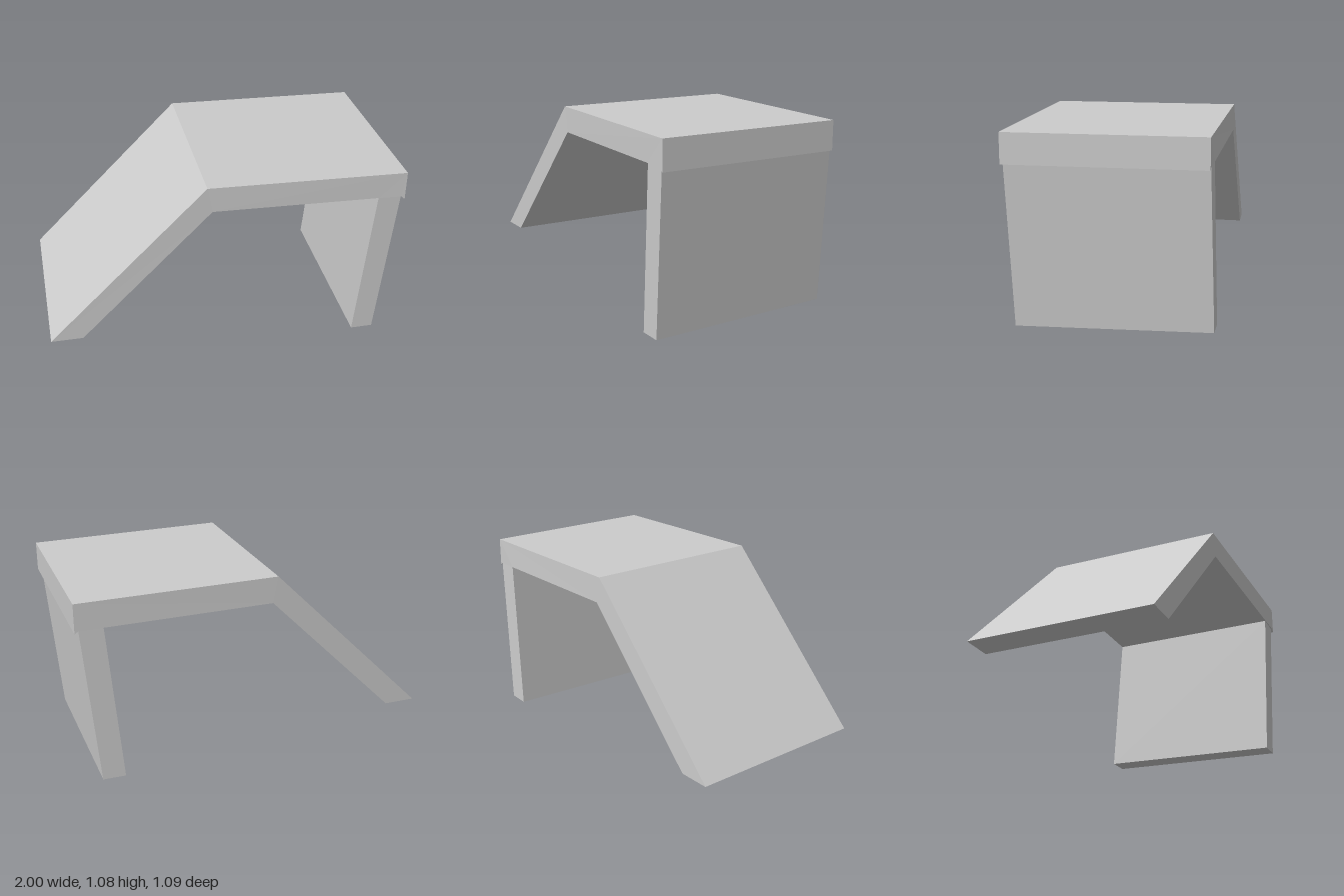
import * as THREE from 'three';

const material = new THREE.MeshStandardMaterial({ color: 0xcccccc, flatShading: true });

// Panel from a counter-clockwise front profile; each corner is
// [x, y, front z, back z, rise of the back corner].
function panel(name, corners) {
  const front = corners.map(([x, y, zf]) => [x, y, zf]);
  const back = corners.map(([x, y, , zb, rise = 0]) => [x, y + rise, zb]);
  const pos = [];
  const tri = (a, b, c) => pos.push(...a, ...b, ...c);
  const outline = corners.map(([x, y]) => new THREE.Vector2(x, y));
  for (const [a, b, c] of THREE.ShapeUtils.triangulateShape(outline, [])) {
    tri(front[a], front[b], front[c]);
    tri(back[c], back[b], back[a]);
  }
  corners.forEach((_, i) => {
    const j = (i + 1) % corners.length;
    tri(front[i], back[i], back[j]);
    tri(front[i], back[j], front[j]);
  });
  const geometry = new THREE.BufferGeometry();
  geometry.setAttribute('position', new THREE.Float32BufferAttribute(pos, 3));
  geometry.computeVertexNormals();
  const mesh = new THREE.Mesh(geometry, material);
  mesh.name = name;
  return mesh;
}

export function createModel() {
  const group = new THREE.Group();
  group.name = 'rampTable';

  // Sloping panel on the right-hand side, cut level at its foot
  group.add(panel('slopedPanel', [
    [-1, 0.185, 0.51, -0.548],
    [-0.82, 0.185, 0.512, -0.548],
    [-0.08, 0.927, 0.517, -0.543],
    [-0.108, 1.073, 0.517, -0.543, 0.003],
  ]));

  // Nearly level top with a small lip over the leg
  group.add(panel('topPanel', [
    [-0.08, 0.927, 0.517, -0.543],
    [0.85, 0.912, 0.539, -0.523],
    [0.98, 0.909, 0.544, -0.518],
    [1, 0.891, 0.545, -0.517, 0.004],
    [1, 1.056, 0.545, -0.517, 0.003],
    [-0.108, 1.073, 0.517, -0.543, 0.003],
  ]));

  // Upright leg panel, leaning slightly, its foot a little higher at the back
  group.add(panel('legPanel', [
    [0.775, 0, 0.518, -0.543, 0.027],
    [0.902, 0, 0.518, -0.54, 0.027],
    [0.98, 0.909, 0.536, -0.518],
    [0.85, 0.912, 0.536, -0.523],
  ]));

  return group;
}
